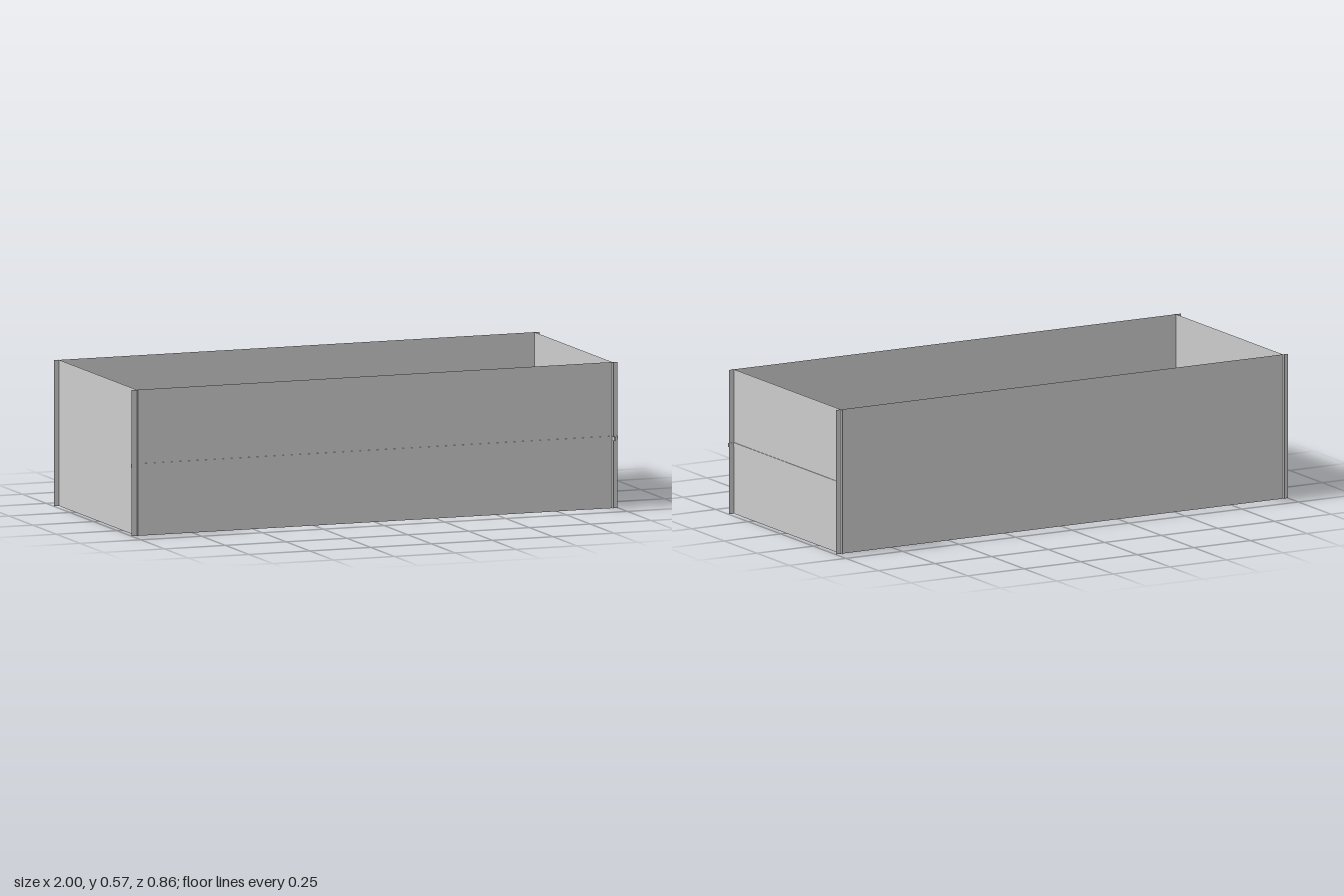
import * as THREE from 'three';

const HEIGHT = 0.566;

export function createModel() {
  const group = new THREE.Group();
  const sheet = new THREE.MeshStandardMaterial({ color: 0xcccccc, side: THREE.DoubleSide });
  const solid = new THREE.MeshStandardMaterial({ color: 0xcccccc });

  // Paper-thin upright panel, turned by angle about y
  const addPanel = (name, width, x, z, angle) => {
    const mesh = new THREE.Mesh(new THREE.PlaneGeometry(width, HEIGHT), sheet);
    mesh.name = name;
    mesh.position.set(x, HEIGHT / 2, z);
    mesh.rotation.y = angle;
    group.add(mesh);
  };

  // Slim horizontal rail running through a panel
  const addRail = (name, sx, sz, x, z) => {
    const mesh = new THREE.Mesh(new THREE.BoxGeometry(sx, 0.015, sz), solid);
    mesh.name = name;
    mesh.position.set(x, 0.272, z);
    group.add(mesh);
  };

  // Long panels; their ends overhang the side panels
  addPanel('frontPanel', 1.997, -0.0015, 0.401, 0);
  addPanel('backPanel', 1.997, -0.0015, -0.419, Math.PI);

  // Short panels; their ends overhang the long panels
  addPanel('leftPanel', 0.845, 0.976, -0.0095, Math.PI / 2);
  addPanel('rightPanel', 0.845, -0.978, -0.0095, -Math.PI / 2);

  // Rails on the front and left panels only
  addRail('frontRail', 2, 0.005, 0, 0.401);
  addRail('leftRail', 0.005, 0.847, 0.976, 0.0085);

  return group;
}
